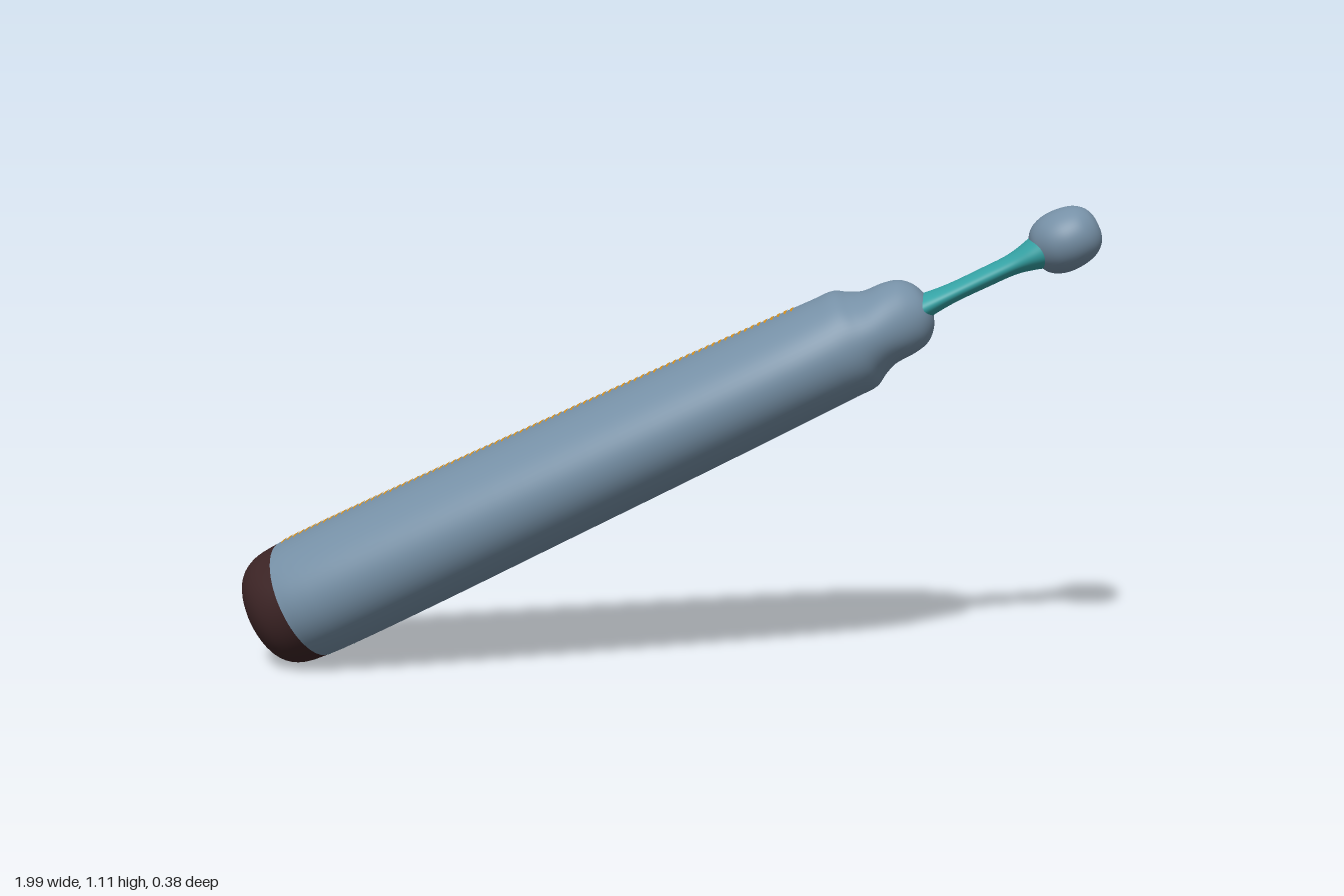
import * as THREE from 'three';
import { mergeGeometries } from 'three/addons/utils/BufferGeometryUtils.js';

const material = (name, color) => {
  const m = new THREE.MeshStandardMaterial({ color });
  m.name = name;
  return m;
};

// Smooth rows of [position along axis, half height, half width]
function smoothRows(rows, steps = 5) {
  const curve = new THREE.CatmullRomCurve3(rows.map(r => new THREE.Vector3(...r)));
  const n = (rows.length - 1) * steps;
  return Array.from({ length: n + 1 }, (_, i) => curve.getPoint(i / n));
}

// Skin of elliptical rings along x
function loft(rings, sides = 64) {
  const pos = [], index = [];
  rings.forEach((r, i) => {
    for (let j = 0; j < sides; j++) {
      const a = (j / sides) * Math.PI * 2;
      pos.push(r.x, Math.max(r.y, 0.0005) * Math.cos(a), Math.max(r.z, 0.0005) * Math.sin(a));
      if (i === rings.length - 1) continue;
      const k = (j + 1) % sides;
      const p = i * sides + j, q = i * sides + k;
      index.push(p, q, p + sides, q, q + sides, p + sides);
    }
  });
  const g = new THREE.BufferGeometry();
  g.setAttribute('position', new THREE.Float32BufferAttribute(pos, 3));
  g.setIndex(index);
  g.computeVertexNormals();
  return g;
}

// Row of thin lens-shaped stitches bent over the body, side = 1 top, -1 bottom
function stitches(rings, from, to, count, side) {
  const list = [];
  for (let i = 0; i < count; i++) {
    const s = from + ((to - from) * i) / (count - 1);
    const b = rings.findIndex(r => r.x >= s);
    const f = (s - rings[b - 1].x) / (rings[b].x - rings[b - 1].x);
    const ring = rings[b - 1].clone().lerp(rings[b], f);
    const g = new THREE.CircleGeometry(1, 10);
    g.scale(0.0045, 0.035, 1).rotateX(-Math.PI / 2 * side);
    const p = g.attributes.position;
    for (let v = 0; v < p.count; v++) {
      const z = p.getZ(v);
      p.setXYZ(v, p.getX(v) + s, side * (ring.y * Math.sqrt(1 - (z / ring.z) ** 2) + 0.002), z);
    }
    list.push(g);
  }
  return mergeGeometries(list);
}

export function createModel() {
  const blue = material('slate blue', 0x7690a6);
  const teal = material('teal', 0x35a3a5);
  const brown = material('dark brown', 0x3c2425);
  const orange = material('orange', 0xd8921f);

  const model = new THREE.Group();
  const add = (name, geometry, mat) => {
    const mesh = new THREE.Mesh(geometry, mat);
    mesh.name = name;
    model.add(mesh);
  };

  // Body with a stepped shoulder; the fifth row is the colour break
  const body = smoothRows([
    [-1.086, 0, 0], [-1.08, 0.05, 0.055], [-1.06, 0.11, 0.108], [-1.02, 0.137, 0.15],
    [-0.955, 0.145, 0.175], [-0.87, 0.147, 0.187], [-0.65, 0.145, 0.191], [-0.3, 0.138, 0.189],
    [0.1, 0.13, 0.182], [0.34, 0.124, 0.171], [0.45, 0.121, 0.156], [0.5, 0.119, 0.144],
    [0.53, 0.102, 0.135], [0.56, 0.09, 0.124], [0.61, 0.087, 0.1], [0.645, 0.078, 0.08],
    [0.67, 0.055, 0.06], [0.683, 0.025, 0.035], [0.686, 0, 0],
  ]);
  add('body', loft(body.slice(20)), blue);
  add('endCap', loft(body.slice(0, 21)), brown);

  // Seam stitches
  add('topStitches', stitches(body, -0.93, 0.4, 82, 1), orange);
  add('bottomStitches', stitches(body, -0.99, 0.42, 86, -1), teal);

  // Flat neck flaring at both ends
  add('neck', loft(smoothRows([
    [0.65, 0.032, 0.065], [0.69, 0.026, 0.055], [0.74, 0.022, 0.047], [0.82, 0.022, 0.044],
    [0.89, 0.024, 0.047], [0.935, 0.034, 0.056], [0.965, 0.044, 0.06],
  ])), teal);

  // Rounded knob
  add('knob', loft(smoothRows([
    [0.938, 0, 0], [0.942, 0.03, 0.035], [0.957, 0.053, 0.056], [0.985, 0.067, 0.075],
    [1.02, 0.07, 0.081], [1.06, 0.062, 0.071], [1.084, 0.044, 0.048], [1.094, 0.022, 0.025],
    [1.096, 0, 0],
  ])), blue);

  model.rotation.z = Math.atan(0.5);
  model.position.y = 0.588;
  const root = new THREE.Group();
  root.name = 'baton';
  root.add(model);
  return root;
}
